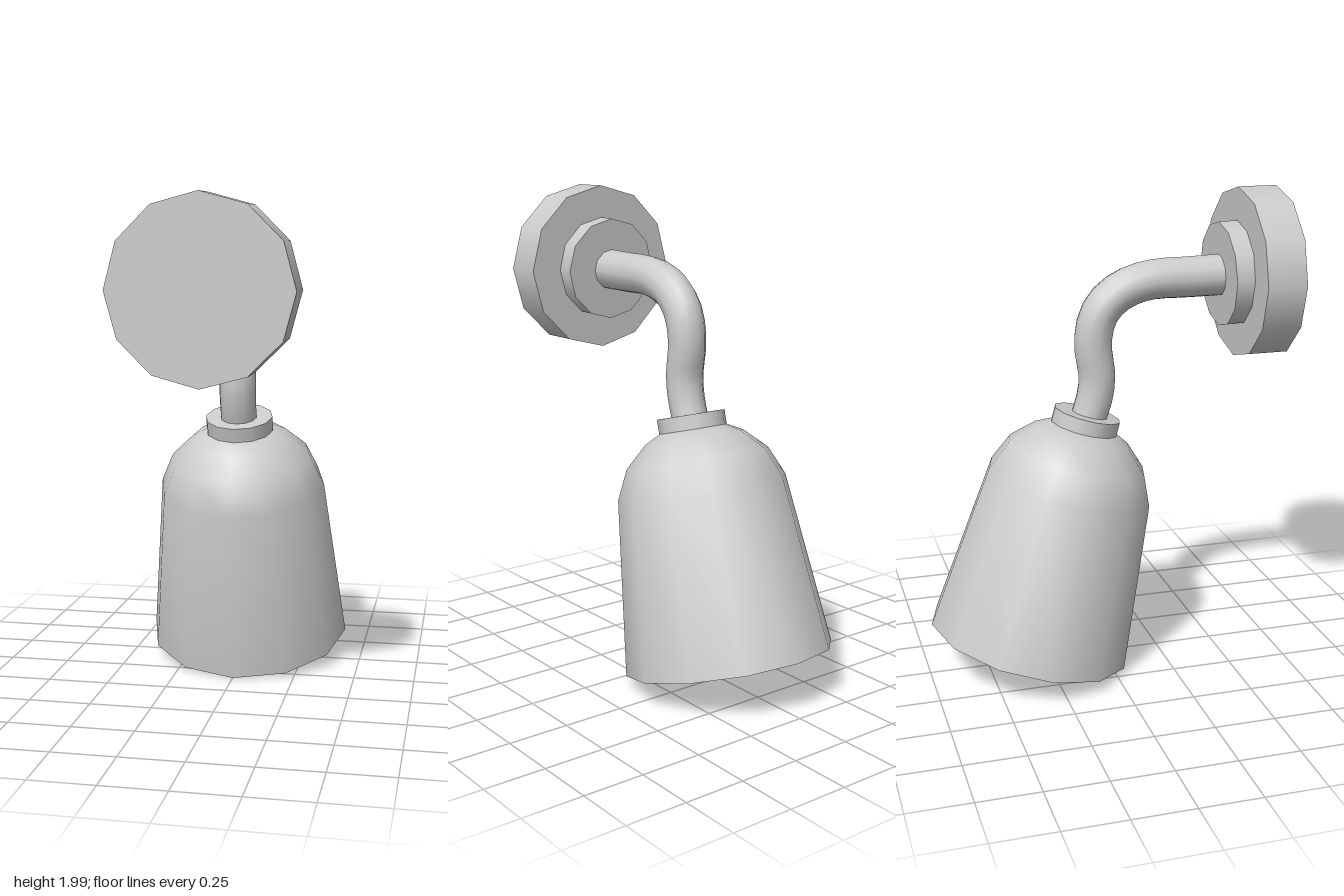
import * as THREE from 'three';
import { toCreasedNormals } from 'three/addons/utils/BufferGeometryUtils.js';

const SIDES = 12;
const TILT = THREE.MathUtils.degToRad(15);

export function createModel() {
  const group = new THREE.Group();
  const material = new THREE.MeshStandardMaterial({ color: 0xcccccc });

  const add = (name, geometry, parent = group) => {
    const mesh = new THREE.Mesh(geometry, material);
    mesh.name = name;
    parent.add(mesh);
    return mesh;
  };
  const disc = (name, radius, depth, parent) =>
    add(name, new THREE.CylinderGeometry(radius, radius, depth, SIDES), parent);

  // Wall plate and the slightly tilted collar on it
  const plate = disc('wallPlate', 0.35, 0.165);
  plate.rotation.x = Math.PI / 2;
  plate.position.set(0, 1.65, 0.657);

  const collar = disc('wallCollar', 0.215, 0.085);
  collar.rotation.x = Math.PI / 2 - 0.025;
  collar.position.set(0, 1.648, 0.542);

  // Bent arm, narrowing a little towards the shade
  const path = new THREE.CatmullRomCurve3([
    [1.645, 0.53], [1.642, 0.36], [1.64, 0.22], [1.62, 0.125], [1.573, 0.04],
    [1.5, -0.015], [1.39, -0.035], [1.25, -0.018], [1.16, -0.03], [1.06, -0.062],
  ].map(([y, z]) => new THREE.Vector3(0, y, z)));
  const steps = 20;
  const armGeometry = new THREE.TubeGeometry(path, steps, 0.086, SIDES);
  const position = armGeometry.attributes.position;
  const v = new THREE.Vector3();
  for (let i = 0; i < position.count; i++) {
    const t = Math.floor(i / (SIDES + 1)) / steps;
    const centre = path.getPointAt(t);
    v.fromBufferAttribute(position, i).sub(centre).multiplyScalar(1 - 0.13 * t).add(centre);
    position.setXYZ(i, v.x, v.y, v.z);
  }
  add('arm', armGeometry);

  // Tilted lamp head, its origin at the middle of the open rim
  const head = new THREE.Group();
  head.name = 'lampHead';
  head.position.set(0, 0.12, -0.321);
  head.rotation.x = TILT;
  group.add(head);

  disc('shadeCollar', 0.141, 0.06, head).position.y = 0.981;

  // Hollow shade: down the inside, around the rim, up the outside
  const profile = [
    [0, 0.925], [0.12, 0.92], [0.18, 0.89], [0.265, 0.81], [0.318, 0.7], [0.395, 0],
    [0.43, 0], [0.35, 0.71], [0.296, 0.83], [0.205, 0.917], [0.13, 0.956], [0, 0.956],
  ].map(([r, y]) => new THREE.Vector2(r, y));
  add('shade', toCreasedNormals(new THREE.LatheGeometry(profile, SIDES), 0.8), head);

  return group;
}
